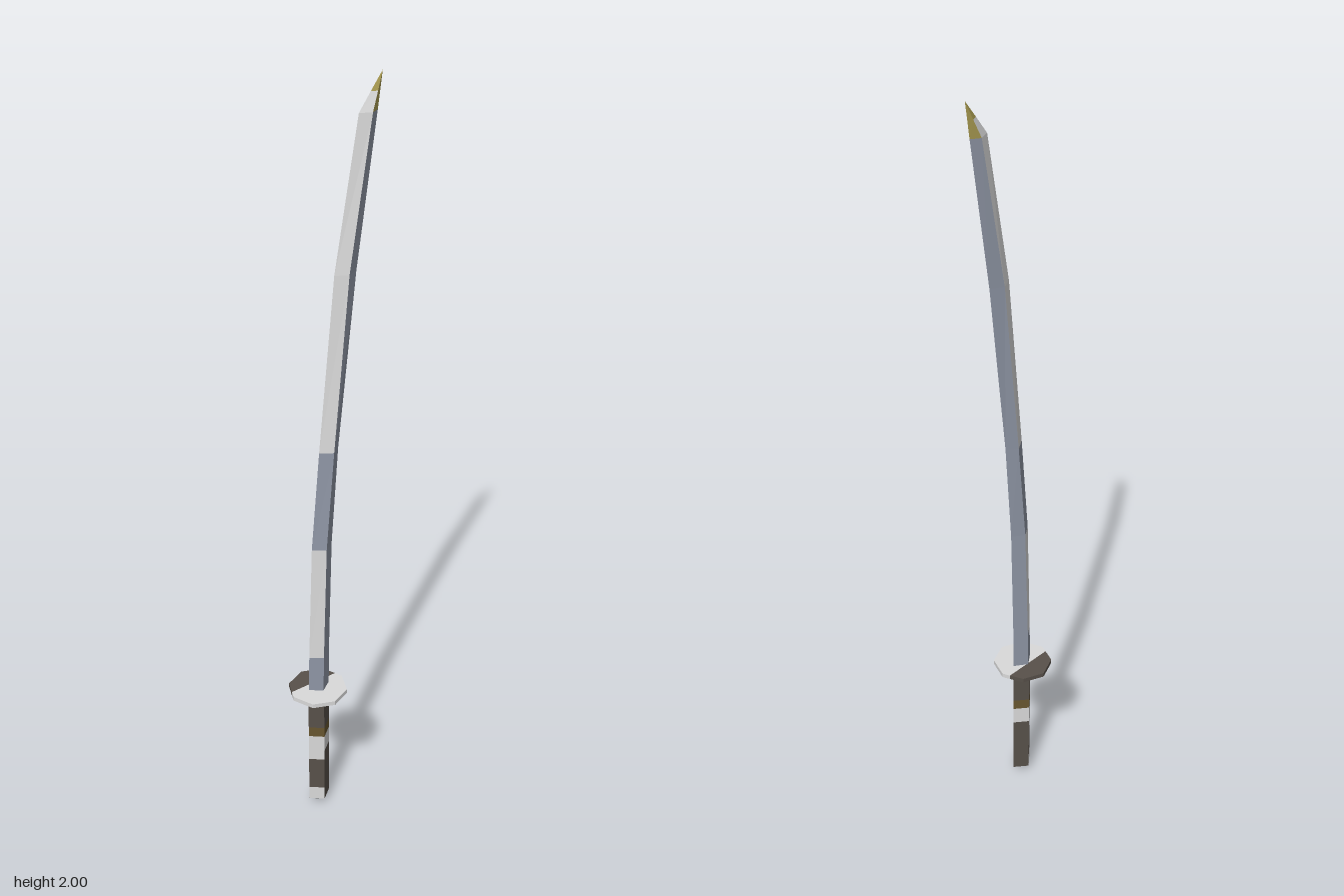
import * as THREE from 'three';

function mat(name, color) {
  const m = new THREE.MeshStandardMaterial({ color, flatShading: true });
  m.name = name;
  return m;
}

// Corners of a diamond section: front edge, left ridge, back edge, right ridge
function corners([y, front, ridge, back, w]) {
  return [[0, y, front], [w, y, ridge], [0, y, back], [-w, y, ridge]];
}

// Side faces between two diamond sections, limited to the listed sides
function diamondStrip(lower, upper, sides, material, name) {
  const a = corners(lower), b = corners(upper), pos = [];
  for (const i of sides) {
    const j = (i + 1) % 4;
    if (lower[4] > 0) pos.push(...a[i], ...a[j], ...b[j]);
    if (upper[4] > 0) pos.push(...a[i], ...b[j], ...b[i]);
    else if (lower[4] > 0) continue;
    else pos.push(...a[i], ...b[j], ...b[i]);
  }
  const geo = new THREE.BufferGeometry();
  geo.setAttribute('position', new THREE.Float32BufferAttribute(pos, 3));
  geo.computeVertexNormals();
  const mesh = new THREE.Mesh(geo, material);
  mesh.name = name;
  return mesh;
}

// Each section carries the colours of the stretch above it
function loft(name, sections) {
  const group = new THREE.Group();
  group.name = name;
  for (let i = 0; i < sections.length - 1; i++) {
    const { at, front, back } = sections[i], next = sections[i + 1].at;
    group.add(diamondStrip(at, next, [0, 3], front, name + 'Front'));
    group.add(diamondStrip(at, next, [1, 2], back, name + 'Back'));
  }
  return group;
}

export function createModel() {
  const silver = mat('silver', 0xdadada);
  const steel = mat('blueSteel', 0x8f96a5);
  const wrap = mat('darkWrap', 0x58514a);
  const bronze = mat('bronze', 0x685630);
  const gold = mat('paleGold', 0xa89a50);
  const model = new THREE.Group();
  model.name = 'curvedSword';

  // Handle: straight diamond grip with a shallow pointed pommel
  const grip = (y) => [y, 0.084, 0.052, 0.018, 0.027];
  model.add(loft('handle', [
    { at: [0, 0.052, 0.052, 0.052, 0], front: silver, back: silver },
    { at: grip(0.02), front: silver, back: wrap },
    { at: grip(0.06), front: wrap, back: wrap },
    { at: grip(0.16), front: silver, back: wrap },
    { at: grip(0.19), front: silver, back: silver },
    { at: grip(0.24), front: bronze, back: bronze },
    { at: grip(0.27), front: wrap, back: wrap },
    { at: grip(0.39) },
  ]));

  // Guard: thin octagon in two colours
  const guard = new THREE.Group();
  guard.name = 'guard';
  const plate = (name, points, material) => {
    const shape = new THREE.Shape(points.map(([x, y]) => new THREE.Vector2(x, y)));
    const geo = new THREE.ExtrudeGeometry(shape, { depth: 0.012, bevelEnabled: false });
    geo.rotateX(-Math.PI / 2).translate(0, 0.383, 0.053);
    const mesh = new THREE.Mesh(geo, material);
    mesh.name = name;
    guard.add(mesh);
  };
  plate('guardLight', [[-0.02, -0.07], [0, -0.078], [0.055, -0.055], [0.078, 0],
    [0.055, 0.055], [0, 0.078], [-0.02, 0.07]], silver);
  plate('guardDark', [[-0.02, 0.07], [-0.055, 0.055], [-0.078, 0],
    [-0.055, -0.055], [-0.02, -0.07]], wrap);
  model.add(guard);

  // Blade: diamond section curving backwards to a slanted tip
  model.add(loft('blade', [
    { at: [0.39, 0.082, 0.051, 0.018, 0.023], front: steel, back: steel },
    { at: [0.5, 0.08, 0.049, 0.017, 0.0225], front: silver, back: steel },
    { at: [0.83, 0.069, 0.038, 0.008, 0.021], front: steel, back: steel },
    { at: [1.1, 0.045, 0.014, -0.012, 0.0195], front: silver, back: steel },
    { at: [1.55, 0, -0.031, -0.063, 0.017], front: silver, back: steel },
    { at: [1.915, -0.066, -0.095, -0.118, 0.013], front: silver, back: gold },
    { at: [1.958, -0.098, -0.113, -0.124, 0.0065], front: gold, back: gold },
    { at: [2, -0.13, -0.13, -0.13, 0] },
  ]));
  return model;
}
